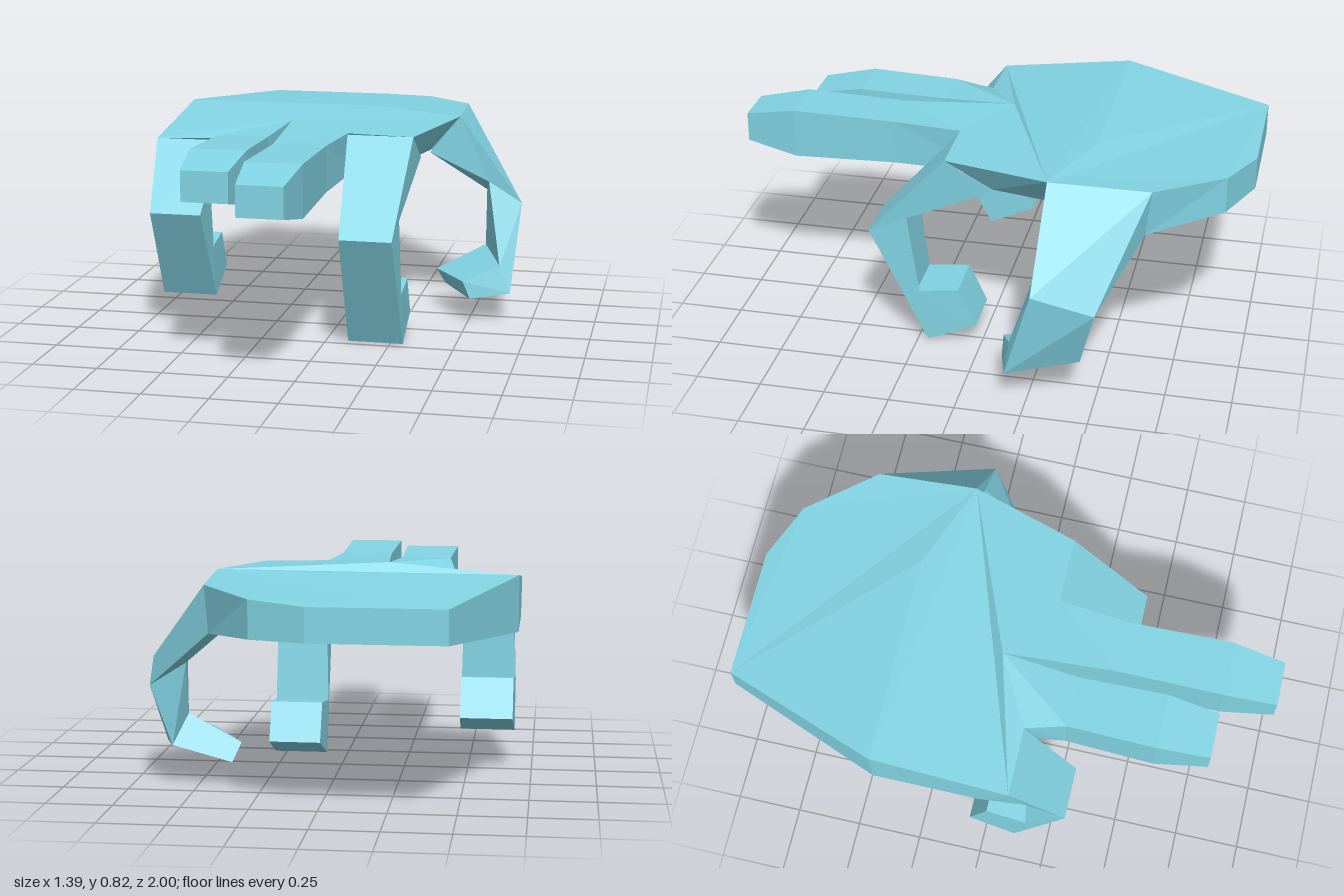
import * as THREE from 'three';

const material = new THREE.MeshStandardMaterial({ color: 0x82d4e4, flatShading: true });

function meshFrom(tris, name) {
  const geometry = new THREE.BufferGeometry();
  geometry.setAttribute('position', new THREE.Float32BufferAttribute(tris.flat(2), 3));
  geometry.computeVertexNormals();
  const mesh = new THREE.Mesh(geometry, material);
  mesh.name = name;
  return mesh;
}

const quad = (a, b, c, d) => [[a, b, c], [a, c, d]];

// Skins four-cornered sections (counter-clockwise seen from the tip) and caps the tip
function loft(sections, name) {
  const tris = [];
  for (let s = 0; s < sections.length - 1; s++) {
    for (let i = 0; i < 4; i++) {
      const j = (i + 1) % 4;
      tris.push(...quad(sections[s][i], sections[s][j], sections[s + 1][j], sections[s + 1][i]));
    }
  }
  tris.push(...quad(...sections[sections.length - 1]));
  return meshFrom(tris, name);
}

// Straight finger section: left [x, z], right [x, z], bottom and top heights
const straight = ([lx, lz], [rx, rz], y0, y1) =>
  [[lx, y0, lz], [rx, y0, rz], [rx, y1, rz], [lx, y1, lz]];

// Curled finger section: knuckle side [z, y], inner side [z, y], x range
const curled = ([oz, oy], [iz, iy], x0, x1) =>
  [[x0, iy, iz], [x1, iy, iz], [x1, oy, oz], [x0, oy, oz]];

// Triangulates a polygon seen from above, facing up (1) or down (-1)
function face(points, direction) {
  const flat = points.map(p => new THREE.Vector2(p[0], p[2]));
  if (THREE.ShapeUtils.isClockWise(flat)) { flat.reverse(); points = [...points].reverse(); }
  return THREE.ShapeUtils.triangulateShape(flat, []).map(([i, j, k]) => {
    const [a, b, c] = [points[i], points[j], points[k]];
    const up = (b[2] - a[2]) * (c[0] - a[0]) - (b[0] - a[0]) * (c[2] - a[2]);
    return up * direction > 0 ? [a, b, c] : [a, c, b];
  });
}

function buildPalm() {
  // Upper outline, clockwise from the wrist
  const top = [
    [-0.48, 0.775, -1], [0.01, 0.775, -1], [0.22, 0.785, -0.91], [0.42, 0.8, -0.66],
    [0.44, 0.81, -0.28], [0.32, 0.795, 0.13], [0.065, 0.8, 0.13], [-0.19, 0.815, -0.03],
    [-0.44, 0.76, 0.11], [-0.7, 0.75, 0.11], [-0.7, 0.82, -0.41],
  ];
  // Matching lower outline, pulled in on the thumb side
  const bottom = [
    [-0.48, 0.65, -1], [0.01, 0.65, -1], [0.22, 0.645, -0.91], [0.41, 0.62, -0.64],
    [0.32, 0.67, -0.28], [0.31, 0.69, -0.05], [0.065, 0.63, 0.0], [-0.19, 0.61, -0.03],
    [-0.44, 0.61, 0.02], [-0.7, 0.61, 0.0], [-0.7, 0.61, -0.41],
  ];
  const tris = [];
  // Back and front halves meet in a crease across the palm
  for (const [ring, y, direction] of [[top, 0.82, 1], [bottom, 0.61, -1]]) {
    const crease = [0.1, y, -0.41];
    tris.push(...face([...ring.slice(0, 5), crease, ring[10]], direction));
    tris.push(...face([...ring.slice(4), crease], direction));
  }
  for (let i = 0; i < top.length; i++) {
    const j = (i + 1) % top.length;
    tris.push(...quad(top[i], top[j], bottom[j], bottom[i]));
  }
  return meshFrom(tris, 'palm');
}

export function createModel() {
  const hand = new THREE.Group();
  hand.name = 'hand';
  hand.add(buildPalm());

  // Two outstretched fingers
  hand.add(loft([
    [[-0.44, 0.61, 0.02], [-0.19, 0.61, -0.03], [-0.19, 0.815, -0.03], [-0.44, 0.76, 0.11]],
    straight([-0.41, 0.26], [-0.215, 0.26], 0.62, 0.8),
    straight([-0.42, 0.6], [-0.21, 0.6], 0.61, 0.81),
    straight([-0.4, 0.8], [-0.225, 0.8], 0.655, 0.77),
  ], 'ringFinger'));
  hand.add(loft([
    [[-0.19, 0.61, -0.03], [0.065, 0.63, 0], [0.065, 0.8, 0.13], [-0.19, 0.815, -0.03]],
    straight([-0.16, 0.4], [0.04, 0.4], 0.625, 0.8),
    straight([-0.165, 0.8], [0.045, 0.8], 0.615, 0.81),
    straight([-0.145, 1], [0.025, 1], 0.655, 0.77),
  ], 'middleFinger'));

  // Two curled fingers
  hand.add(loft([
    curled([0.13, 0.795], [-0.05, 0.685], 0.065, 0.32),
    curled([0.44, 0.455], [0.29, 0.53], 0.095, 0.295),
    curled([0.21, 0], [0.255, 0.21], 0.085, 0.3),
    curled([0.02, 0.08], [0.09, 0.23], 0.09, 0.295),
  ], 'indexFinger'));
  hand.add(loft([
    curled([0.11, 0.75], [0, 0.61], -0.7, -0.44),
    curled([0.32, 0.495], [0.17, 0.56], -0.67, -0.47),
    curled([0.125, 0.13], [0.17, 0.335], -0.68, -0.465),
    curled([-0.055, 0.21], [0.015, 0.36], -0.675, -0.47),
  ], 'littleFinger'));

  // Thumb hooking inward: corners outer front, inner front, inner back, outer back
  hand.add(loft([
    [[0.44, 0.81, -0.28], [0.32, 0.66, -0.28], [0.41, 0.62, -0.64], [0.42, 0.8, -0.66]],
    [[0.695, 0.47, -0.27], [0.56, 0.55, -0.28], [0.53, 0.48, -0.46], [0.66, 0.4, -0.5]],
    [[0.665, 0.12, -0.17], [0.62, 0.23, -0.18], [0.54, 0.27, -0.37], [0.59, 0.16, -0.44]],
    [[0.51, 0.1, -0.13], [0.48, 0.17, -0.13], [0.34, 0.16, -0.36], [0.37, 0.09, -0.4]],
  ], 'thumb'));
  return hand;
}
